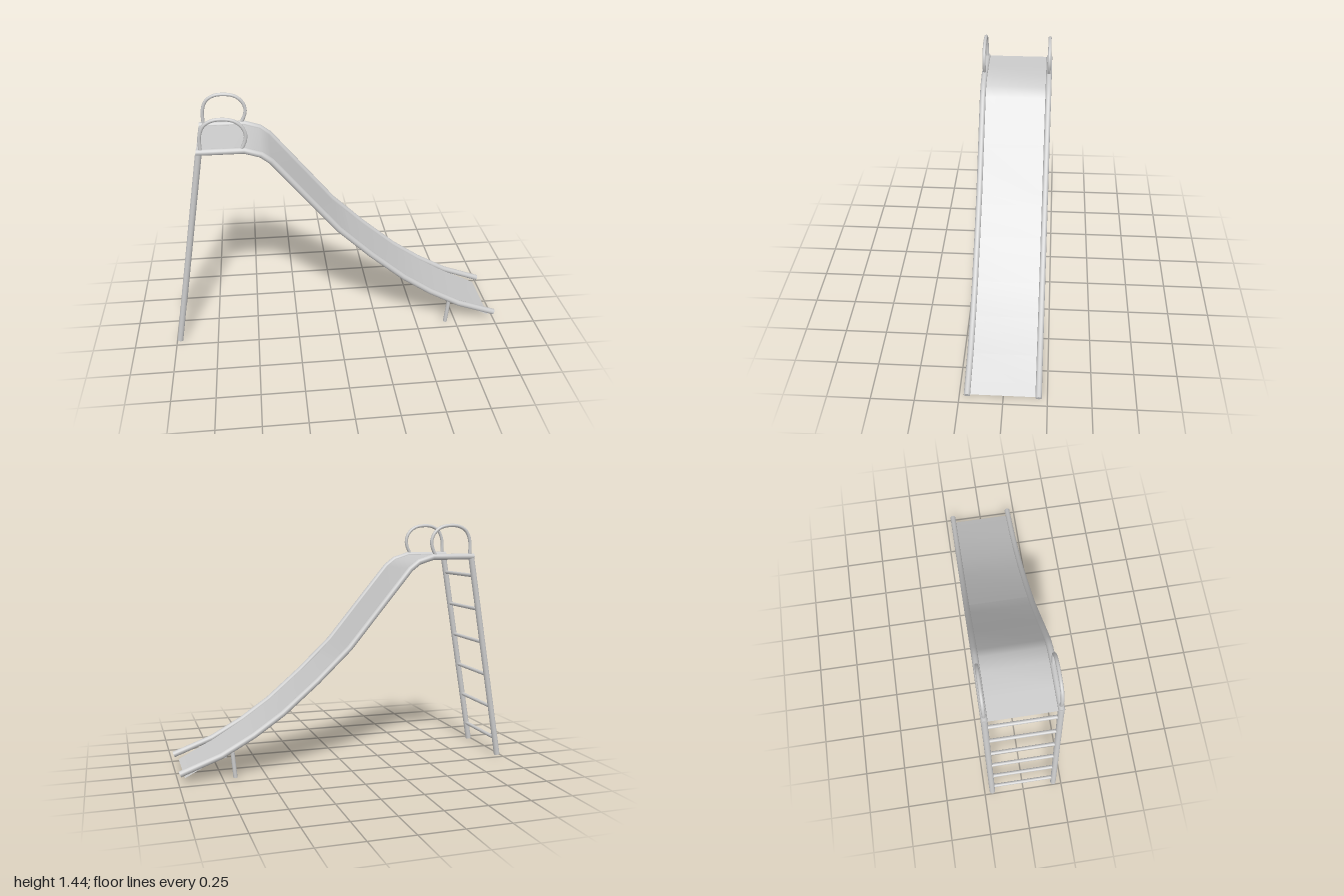
import * as THREE from 'three';

const material = new THREE.MeshStandardMaterial({ color: 0xcccccc });
const sheet = new THREE.MeshStandardMaterial({ color: 0xcccccc, side: THREE.DoubleSide });
const HALF = 0.2; // distance of the rails from the centre line
const RAIL = 0.018;

// Side profile (x, y) of the rails, from the platform down to the exit
const railPath = [
  [-0.783, 1.25], [-0.65, 1.25], [-0.52, 1.25], [-0.43, 1.222], [-0.375, 1.18],
  [-0.19, 0.957], [0, 0.727], [0.195, 0.541], [0.4, 0.366], [0.57, 0.249],
  [0.757, 0.145], [0.993, 0.058],
];
const seam = [0.08, 0.647];

const handlePath = [
  [-0.757, 1.25], [-0.757, 1.34], [-0.733, 1.4], [-0.69, 1.428], [-0.635, 1.435],
  [-0.57, 1.424], [-0.527, 1.39], [-0.509, 1.345], [-0.514, 1.305], [-0.54, 1.25],
];

// Round bar through (x, y) points at depth z, with closed ends
function bar(name, path, z, radius, steps = 1) {
  const group = new THREE.Group();
  group.name = name;
  const curve = new THREE.CatmullRomCurve3(path.map(([x, y]) => new THREE.Vector3(x, y, z)));
  // place the rings at the given points rather than at even spacing
  curve.getPointAt = (t) => curve.getPoint(t);
  curve.getTangentAt = (t) => curve.getTangent(t);
  const tube = new THREE.TubeGeometry(curve, (path.length - 1) * steps, radius, 14);
  group.add(new THREE.Mesh(tube, material));
  for (const t of [0, 1]) {
    const cap = new THREE.Mesh(new THREE.CircleGeometry(radius, 14), material);
    const outward = curve.getTangent(t).multiplyScalar(t ? 1 : -1);
    cap.position.copy(curve.getPoint(t));
    cap.quaternion.setFromUnitVectors(new THREE.Vector3(0, 0, 1), outward);
    group.add(cap);
  }
  return group;
}

// Sliding sheet: a plane whose columns follow the side profile
function bed(name, path) {
  const n = path.length - 1;
  const geometry = new THREE.PlaneGeometry(1, 2 * HALF - 0.02, n, 1).rotateX(-Math.PI / 2);
  const position = geometry.attributes.position;
  for (let i = 0; i < position.count; i++) {
    const [x, y] = path[i % (n + 1)];
    position.setXYZ(i, x, y, position.getZ(i));
  }
  geometry.computeVertexNormals();
  const mesh = new THREE.Mesh(geometry, sheet);
  mesh.name = name;
  return mesh;
}

export function createModel() {
  const model = new THREE.Group();
  model.name = 'playgroundSlide';

  const foot = [-0.982, 0.003];
  const top = [-0.77, 1.24];

  // Rails, ladder legs, handles and front posts, mirrored front to back
  for (const [side, z] of [['front', HALF], ['back', -HALF]]) {
    model.add(bar(`${side}Rail`, railPath, z, RAIL));
    model.add(bar(`${side}LadderLeg`, [foot, top], z, RAIL));
    model.add(bar(`${side}Handle`, handlePath, z, 0.01, 3));
    model.add(bar(`${side}SupportPost`, [[0.682, 0.011], [0.697, 0.17]], z, 0.012));
  }

  // Ladder rungs
  for (let i = 0; i < 6; i++) {
    const y = 0.11 + 0.205 * i;
    const t = (y - foot[1]) / (top[1] - foot[1]);
    const rung = new THREE.Mesh(new THREE.CylinderGeometry(0.011, 0.011, 2 * HALF, 12), material);
    rung.rotation.x = Math.PI / 2;
    rung.position.set(foot[0] + t * (top[0] - foot[0]), y, 0);
    rung.name = `rung${i + 1}`;
    model.add(rung);
  }

  // Two bed panels meeting at a seam; the lower one dips below the rails at the exit
  model.add(bed('upperBed', [...railPath.slice(0, 7), seam]));
  model.add(bed('lowerBed', [seam, ...railPath.slice(7, 10), [0.757, 0.137], [0.965, 0.03]]));

  return model;
}
